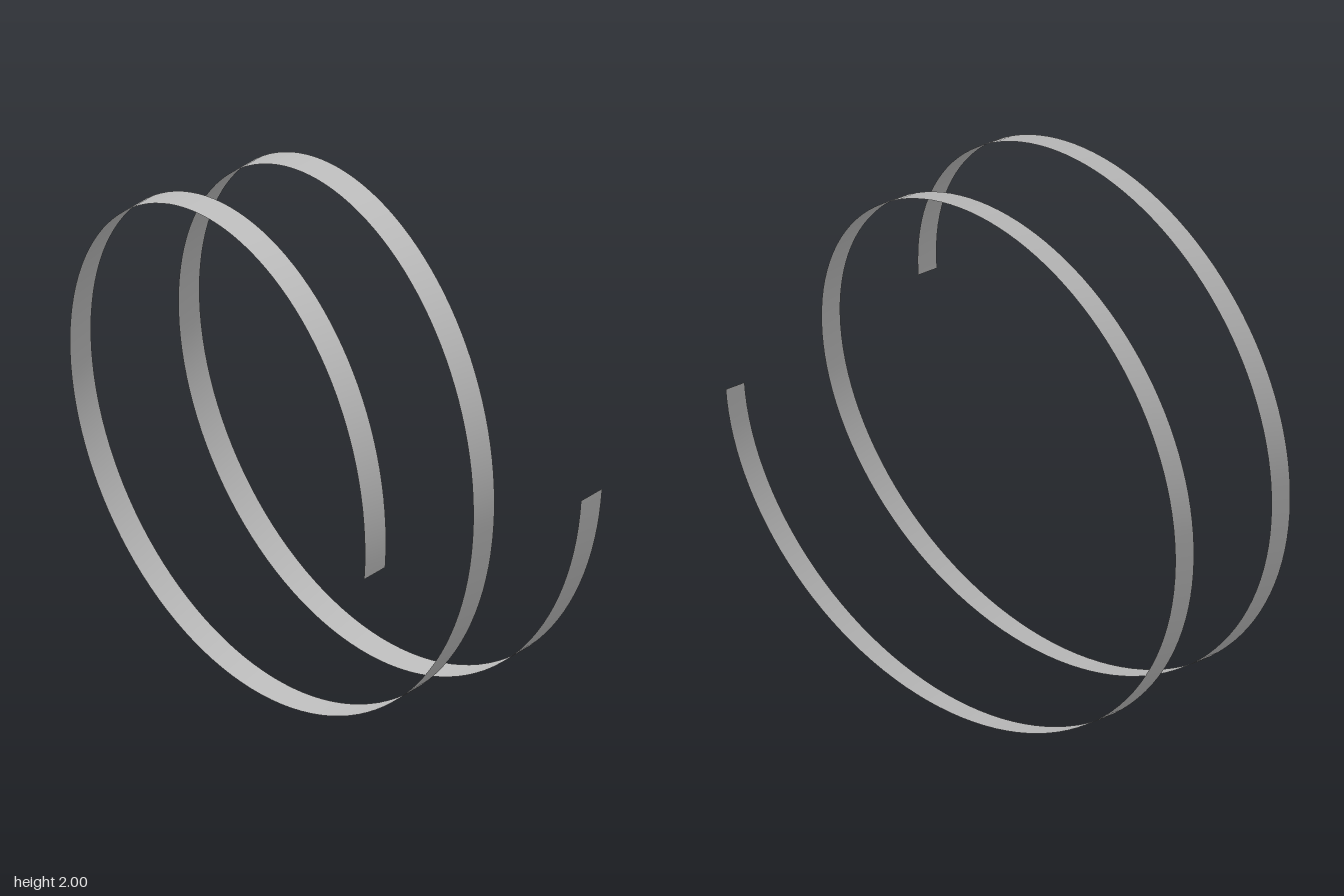
import * as THREE from 'three';

const RADIUS = 0.991;
const TURNS = 2;
const LENGTH = 0.993; // travel of the helix along z
const SWEEP = new THREE.Vector3(0, 0.018, -0.0965); // constant edge-to-edge offset
const SEGMENTS = 240;

// Ribbon swept between two parallel helices
function helixRibbon() {
  const positions = [];
  const indices = [];
  for (let i = 0; i <= SEGMENTS; i++) {
    const t = i / SEGMENTS;
    const angle = t * TURNS * Math.PI * 2;
    const centre = new THREE.Vector3(
      RADIUS * Math.cos(angle),
      1 + RADIUS * Math.sin(angle),
      LENGTH * (0.5 - t)
    );
    for (const side of [-0.5, 0.5]) {
      positions.push(...centre.clone().addScaledVector(SWEEP, side).toArray());
    }
    if (i < SEGMENTS) {
      const a = i * 2;
      indices.push(a, a + 1, a + 2, a + 1, a + 3, a + 2);
    }
  }
  const geometry = new THREE.BufferGeometry();
  geometry.setAttribute('position', new THREE.Float32BufferAttribute(positions, 3));
  // wind the faces so the normals point away from the axis
  for (let i = 0; i < indices.length; i += 3) {
    [indices[i + 1], indices[i + 2]] = [indices[i + 2], indices[i + 1]];
  }
  geometry.setIndex(indices);
  geometry.computeVertexNormals();
  return geometry;
}

export function createModel() {
  const group = new THREE.Group();
  group.name = 'helix';

  const grey = new THREE.MeshStandardMaterial({ color: 0xbbbbbb, side: THREE.DoubleSide });
  grey.name = 'grey';

  // Two-turn spiral band
  const ribbon = new THREE.Mesh(helixRibbon(), grey);
  ribbon.name = 'spiralRibbon';
  group.add(ribbon);

  return group;
}
